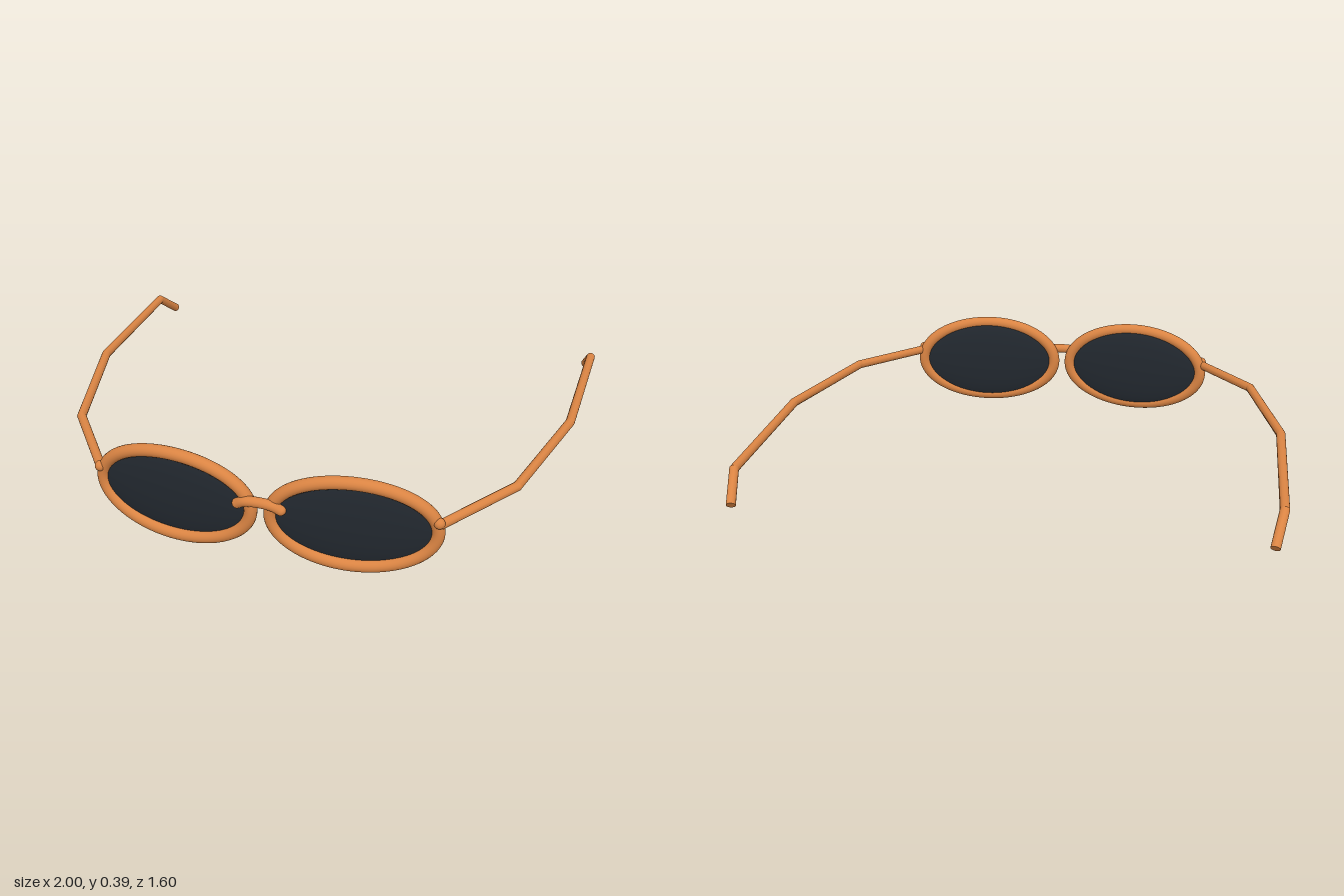
import * as THREE from 'three';
import { toCreasedNormals } from 'three/addons/utils/BufferGeometryUtils.js';

const V = (x, y, z) => new THREE.Vector3(x, y, z);
const frameMat = new THREE.MeshStandardMaterial({ color: 0xda8443 });
const lensMat = new THREE.MeshStandardMaterial({ color: 0x22282f });

const CX = 0.33, CY = 0.195, RX = 0.294, RY = 0.171, WIRE = 0.024;

// The front follows a gentle wrap around the face
const wrapZ = (x) => 0.76 - 0.15 * x * x;

// Closed oval path lying on the wrap
class RimCurve extends THREE.Curve {
  constructor(side) { super(); this.side = side; }
  getPoint(t, target = V(0, 0, 0)) {
    const a = t * Math.PI * 2;
    const x = this.side * CX + RX * Math.cos(a);
    return target.set(x, CY + RY * Math.sin(a), wrapZ(x));
  }
}

// Polyline with a mitred joint at each point
class BentCurve extends THREE.Curve {
  constructor(points) { super(); this.points = points; }
  getPoint(t, target = V(0, 0, 0)) {
    const n = this.points.length - 1;
    const i = Math.min(Math.floor(t * n + 1e-6), n - 1);
    return target.lerpVectors(this.points[i], this.points[i + 1], t * n - i);
  }
  getPointAt(t, target) { return this.getPoint(t, target); }
  getTangentAt(t, target = V(0, 0, 0)) {
    const p = this.points, i = Math.round(t * (p.length - 1));
    target.set(0, 0, 0);
    if (i > 0) target.add(p[i].clone().sub(p[i - 1]).normalize());
    if (i < p.length - 1) target.add(p[i + 1].clone().sub(p[i]).normalize());
    return target.normalize();
  }
}

function add(parent, name, geometry, material) {
  const mesh = new THREE.Mesh(geometry, material);
  mesh.name = name;
  parent.add(mesh);
  return mesh;
}

function buildSide(side) {
  const group = new THREE.Group();
  group.name = side > 0 ? 'leftSide' : 'rightSide';
  add(group, 'rim', new THREE.TubeGeometry(new RimCurve(side), 96, WIRE, 20, true), frameMat);

  // Lens: a flattened ellipsoid spanning the rim from its inner to its outer end
  const zIn = wrapZ(CX - RX), zOut = wrapZ(CX + RX);
  const lens = add(group, 'lens', new THREE.SphereGeometry(1, 64, 40), lensMat);
  lens.scale.set(RX, RY, 0.028);
  lens.position.set(side * CX, CY, (zIn + zOut) / 2);
  lens.rotation.y = side * Math.atan2(zIn - zOut, 2 * RX);

  // Temple arm with bends and a turned-down tip
  const path = [
    V(0.628, 0.232, 0.71), V(0.845, 0.246, 0.42), V(0.969, 0.248, -0.07),
    V(0.982, 0.221, -0.675), V(0.957, 0.13, -0.788),
  ].map((p) => V(p.x * side, p.y, p.z));
  const r = 0.0175;
  const arm = new THREE.TubeGeometry(new BentCurve(path), path.length - 1, r, 32);
  add(group, 'temple', toCreasedNormals(arm, 0.23), frameMat);
  const tip = add(group, 'templeTip', new THREE.CircleGeometry(r, 32), frameMat);
  tip.position.copy(path[4]);
  tip.lookAt(path[4].clone().multiplyScalar(2).sub(path[3]));

  // Rounded hinge where the temple meets the rim
  const hinge = add(group, 'hinge', new THREE.SphereGeometry(0.02, 20, 14), frameMat);
  hinge.position.set(0.628 * side, 0.243, 0.716);
  return group;
}

export function createModel() {
  const model = new THREE.Group();
  model.name = 'sunglasses';
  model.add(buildSide(1), buildSide(-1));

  // Arched nose bridge with rounded ends
  const bridge = new THREE.Group();
  bridge.name = 'bridge';
  const pts = [
    V(-0.08, 0.226, 0.774), V(-0.05, 0.243, 0.78), V(0, 0.248, 0.781),
    V(0.05, 0.243, 0.78), V(0.08, 0.226, 0.774),
  ];
  add(bridge, 'bridgeArch', new THREE.TubeGeometry(new THREE.CatmullRomCurve3(pts), 32, 0.019, 20), frameMat);
  for (const p of [pts[0], pts[4]]) {
    add(bridge, 'bridgeEnd', new THREE.SphereGeometry(0.019, 20, 14), frameMat).position.copy(p);
  }
  model.add(bridge);
  return model;
}
